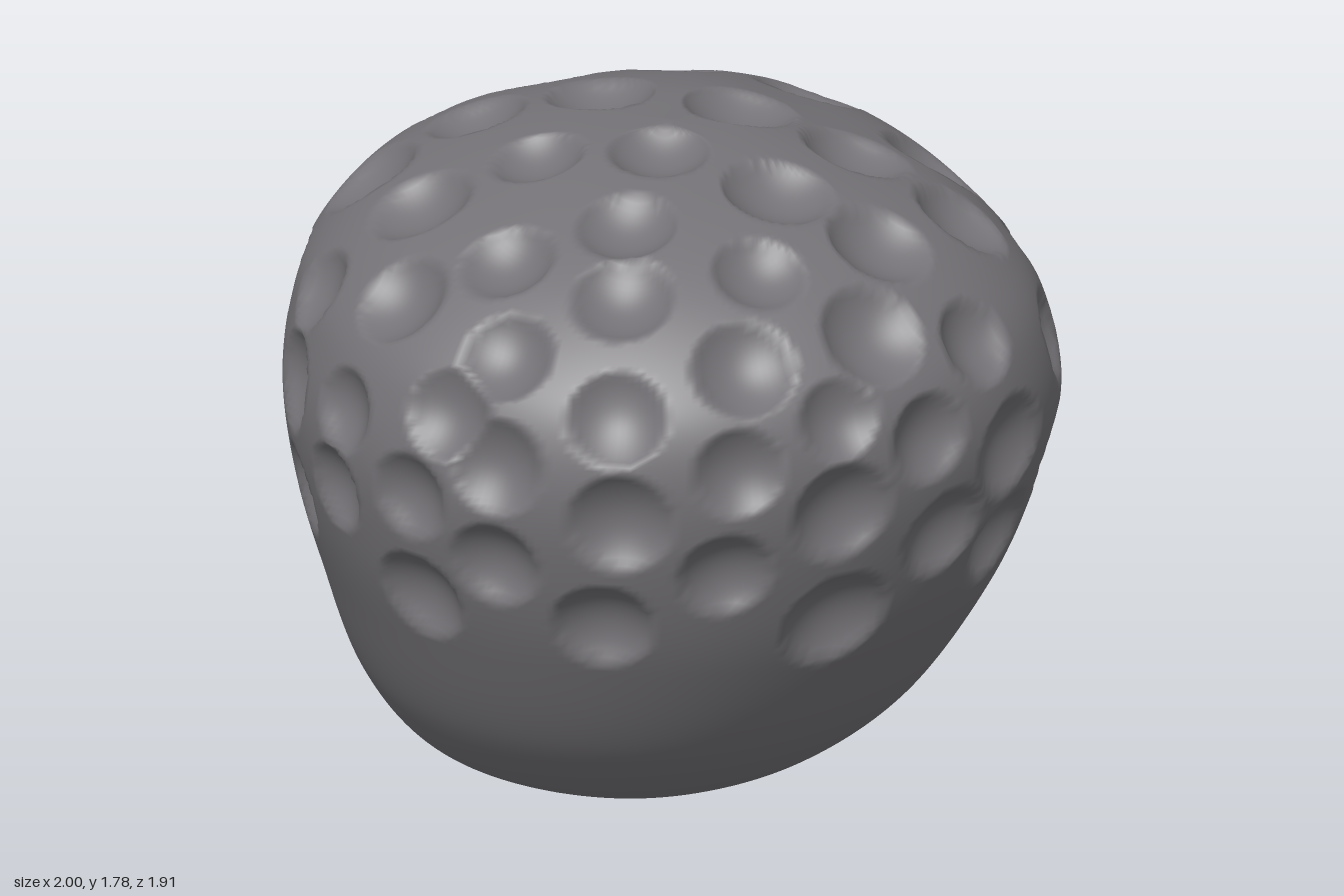
import * as THREE from 'three';

const RINGS = 200, SIDES = 300;

// Body cross-sections, bottom to top: y, xMin, xMax, zMin, zMax
const sections = [
  [0, -0.02, -0.02, -0.22, -0.22],
  [0, -0.2, 0.16, -0.42, 0],
  [0.01, -0.38, 0.3, -0.58, 0.17],
  [0.1, -0.6, 0.5, -0.76, 0.38],
  [0.3, -0.76, 0.69, -0.865, 0.61],
  [0.6, -0.88, 0.85, -0.905, 0.8],
  [0.85, -0.96, 0.94, -0.925, 0.9],
  [1.1, -1, 1, -0.94, 0.955],
  [1.3, -0.97, 0.975, -0.95, 0.94],
  [1.45, -0.895, 0.905, -0.94, 0.855],
  [1.6, -0.715, 0.735, -0.85, 0.675],
  [1.705, -0.46, 0.48, -0.65, 0.43],
  [1.765, -0.22, 0.27, -0.4, 0.12],
  [1.785, 0.05, 0.05, -0.12, -0.12],
];

// Dimples on each side: two coordinates across that side, then radius
const frontDimples = [ // x, y
  [-0.47, 0.77, 0.135], [0.14, 0.74, 0.15], [0.68, 0.81, 0.135], [-0.73, 0.92, 0.125],
  [-0.18, 0.92, 0.125], [0.45, 0.93, 0.13], [-0.47, 1.09, 0.14], [0.13, 1.08, 0.14],
  [0.68, 1.11, 0.14], [-0.73, 1.22, 0.13], [-0.17, 1.23, 0.12], [0.4, 1.23, 0.12],
  [-0.45, 1.37, 0.13], [0.13, 1.33, 0.11], [0.58, 1.41, 0.12], [-0.66, 1.48, 0.125],
  [-0.11, 1.48, 0.135], [0.27, 1.49, 0.145],
];
const leftDimples = [ // z, y on the +x side
  [0.13, 0.8, 0.15], [-0.52, 0.79, 0.135], [0.44, 0.96, 0.125], [-0.19, 0.96, 0.145],
  [0.16, 1.11, 0.14], [-0.56, 1.11, 0.135], [0.44, 1.26, 0.125], [-0.18, 1.26, 0.14],
  [0.15, 1.37, 0.11], [-0.51, 1.41, 0.145], [-0.76, 1.51, 0.125],
];
const rightDimples = [ // z, y on the -x side
  [0.38, 0.77, 0.135], [0.42, 1.08, 0.12], [0.5, 1.32, 0.125], [0.16, 1.23, 0.115],
  [-0.2, 1.42, 0.12], [0.12, 1.0, 0.12], [-0.2, 0.86, 0.125], [-0.2, 1.17, 0.135],
  [-0.57, 0.99, 0.13], [-0.56, 1.3, 0.135],
];
const backDimples = [[-0.6, 1.34, 0.11], [0.25, 1.46, 0.1]]; // x, y
const topDimples = [ // x, z
  [-0.06, -0.78, 0.145], [-0.36, -0.83, 0.135], [0.28, -0.67, 0.12], [-0.64, -0.51, 0.145],
  [-0.33, -0.51, 0.135], [-0.03, -0.41, 0.145], [0.58, -0.49, 0.145], [-0.63, -0.16, 0.145],
  [-0.32, -0.11, 0.125], [0.28, -0.19, 0.15], [0.79, -0.1, 0.145], [-0.04, 0.04, 0.135],
  [0.5, 0.05, 0.145], [-0.81, 0.15, 0.135], [-0.55, 0.27, 0.13], [-0.24, 0.32, 0.135],
  [0.19, 0.29, 0.15], [0.72, 0.3, 0.14], [-0.35, 0.56, 0.135], [0.02, 0.6, 0.125],
  [0.4, 0.5, 0.145],
];

// Smooth lofted body with a flattened back
function bodyGeometry() {
  const xCurve = new THREE.CatmullRomCurve3(
    sections.map(s => new THREE.Vector3(s[1], s[0], s[2])), false, 'catmullrom', 0.5);
  const zCurve = new THREE.CatmullRomCurve3(
    sections.map(s => new THREE.Vector3(s[3], s[0], s[4])), false, 'catmullrom', 0.5);
  const positions = [], index = [];
  for (let i = 0; i <= RINGS; i++) {
    const px = xCurve.getPoint(i / RINGS), pz = zCurve.getPoint(i / RINGS);
    const cx = (px.x + px.z) / 2, rx = (px.z - px.x) / 2;
    const cz = (pz.x + pz.z) / 2, rz = (pz.z - pz.x) / 2;
    for (let j = 0; j < SIDES; j++) {
      const a = j / SIDES * Math.PI * 2, c = Math.cos(a), s = Math.sin(a);
      const n = 2.26 + 0.19 * c - 0.19 * s; // squarer toward the back
      const k = (Math.abs(c) ** n + Math.abs(s) ** n) ** (-1 / n);
      positions.push(cx + rx * k * c, Math.max(0, px.y), cz + rz * k * s);
      const p = i * SIDES + j, q = i * SIDES + (j + 1) % SIDES;
      if (i > 0 && i < RINGS) index.push(p, p + SIDES, q);
      if (i < RINGS - 1) index.push(q, p + SIDES, q + SIDES);
    }
  }
  const g = new THREE.BufferGeometry();
  g.setAttribute('position', new THREE.Float32BufferAttribute(positions, 3));
  g.setIndex(index);
  g.computeVertexNormals();
  return g;
}

// Press round, crisp-rimmed bowls into the surface along its normals
function pressDimples(g) {
  const pos = g.attributes.position, nor = g.attributes.normal;
  const points = [], normals = [];
  for (let i = 0; i < pos.count; i++) {
    points.push(new THREE.Vector3().fromBufferAttribute(pos, i));
    normals.push(new THREE.Vector3().fromBufferAttribute(nor, i));
  }
  const depth = new Float32Array(pos.count);
  const press = (list, u, v, axis, sign) => {
    for (const [a, b, r] of list) {
      let best = Infinity, centre = points[0];
      points.forEach((p, i) => {
        if (normals[i][axis] * sign < 0.15) return;
        const d = (p[u] - a) ** 2 + (p[v] - b) ** 2;
        if (d < best) { best = d; centre = p; }
      });
      points.forEach((p, i) => {
        const t = p.distanceToSquared(centre) / (r * r);
        if (t < 1) depth[i] = Math.max(depth[i], 0.48 * r * (1 - t) ** 0.85);
      });
    }
  };
  press(frontDimples, 'x', 'y', 'z', 1);
  press(backDimples, 'x', 'y', 'z', -1);
  press(leftDimples, 'z', 'y', 'x', 1);
  press(rightDimples, 'z', 'y', 'x', -1);
  press(topDimples, 'x', 'z', 'y', 1);
  points.forEach((p, i) => {
    p.addScaledVector(normals[i], -depth[i]);
    pos.setXYZ(i, p.x, p.y, p.z);
  });
  g.computeVertexNormals();
}

export function createModel() {
  const group = new THREE.Group();
  group.name = 'dimpledStone';
  const stoneGrey = new THREE.MeshStandardMaterial({ color: 0x747276 });
  stoneGrey.name = 'stone grey';
  const geometry = bodyGeometry();
  pressDimples(geometry);
  const body = new THREE.Mesh(geometry, stoneGrey);
  body.name = 'dimpledBody';
  group.add(body);
  return group;
}
